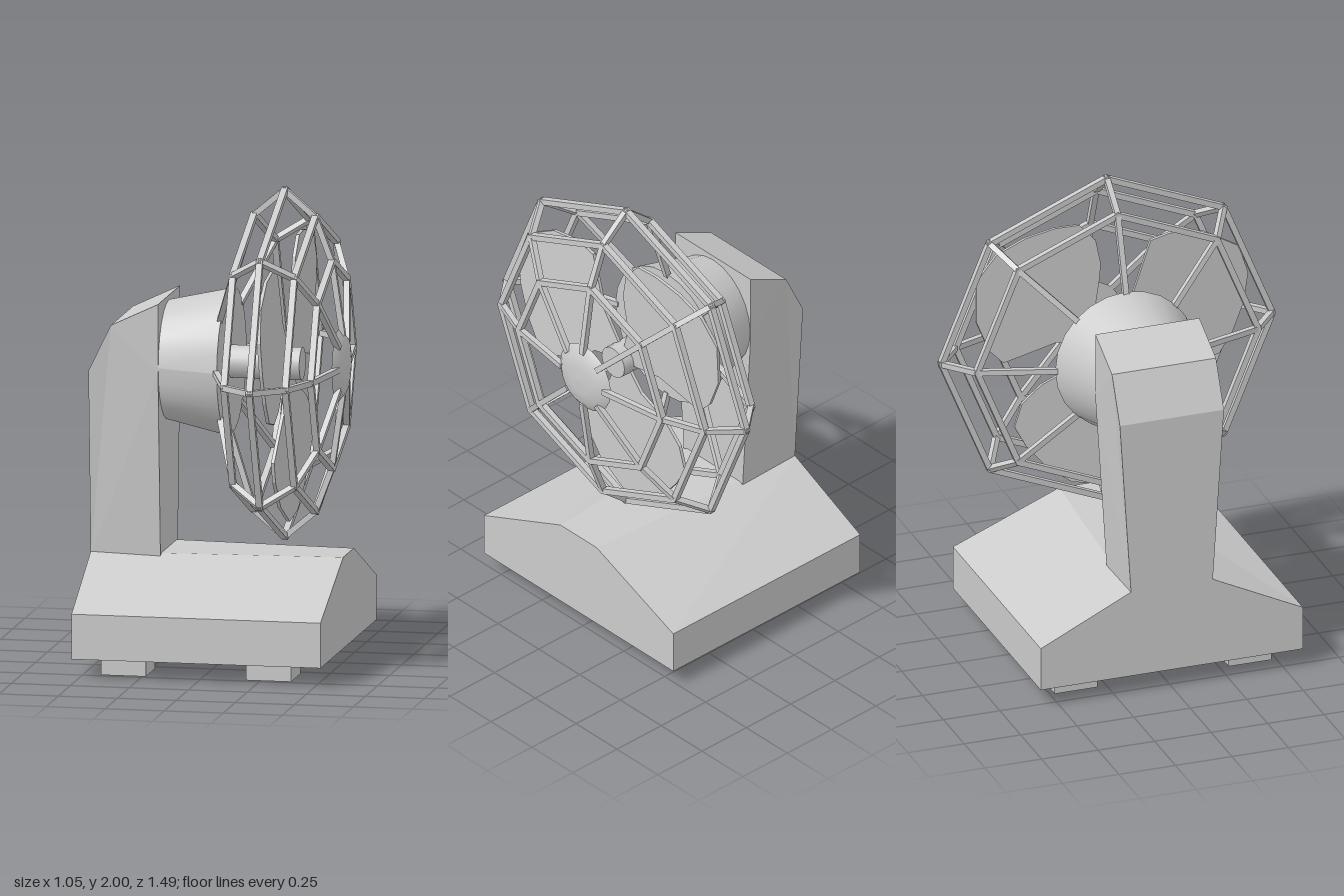
import * as THREE from 'three';

const AXIS_Y = 1.255; // height of the fan axis, which runs along x
const flat = new THREE.MeshStandardMaterial({ color: 0xcccccc, flatShading: true });
const smooth = new THREE.MeshStandardMaterial({ color: 0xcccccc });

function add(parent, name, geometry, material = flat) {
  const mesh = new THREE.Mesh(geometry, material);
  mesh.name = name;
  parent.add(mesh);
  return mesh;
}

function extrude(points, depth) {
  const shape = new THREE.Shape(points.map(p => new THREE.Vector2(...p)));
  return new THREE.ExtrudeGeometry(shape, { depth, bevelEnabled: false });
}

// Moves each vertex by a rule that edits the vector in place
function deform(geometry, rule) {
  const pos = geometry.attributes.position, v = new THREE.Vector3();
  for (let i = 0; i < pos.count; i++) {
    rule(v.fromBufferAttribute(pos, i));
    pos.setXYZ(i, v.x, v.y, v.z);
  }
  geometry.computeVertexNormals();
  return geometry;
}

// Solid of revolution about the x axis from [radius, x] pairs
function latheX(points, sides) {
  return new THREE.LatheGeometry(points.map(p => new THREE.Vector2(...p)), sides).rotateZ(-Math.PI / 2);
}

// Square bar between two points in the xy plane
function bar(a, b, t) {
  const dx = b[0] - a[0], dy = b[1] - a[1];
  return new THREE.BoxGeometry(Math.hypot(dx, dy) + t * 0.4, t, t)
    .rotateZ(Math.atan2(dy, dx))
    .translate((a[0] + b[0]) / 2, (a[1] + b[1]) / 2, 0);
}

function buildStand(group) {
  // Base with sloping shoulders; the ridge narrows towards +x
  const base = extrude([[-0.58, 0.08], [0.58, 0.08], [0.58, 0.27], [0.18, 0.465], [-0.18, 0.465], [-0.58, 0.27]], 1.055)
    .rotateY(Math.PI / 2).translate(-0.53, 0, 0);
  add(group, 'base', deform(base, v => { if (v.y > 0.4 && v.x > 0) v.z *= 0.11 / 0.18; }));

  // Four feet
  for (const x of [-0.33, 0.285])
    for (const z of [-0.385, 0.385])
      add(group, 'foot', new THREE.BoxGeometry(0.19, 0.09, 0.19)).position.set(x, 0.045, z);

  // Post with a chamfered back, wider at the top
  const post = extrude([[-0.53, 0.45], [-0.235, 0.45], [-0.235, 1.235], [-0.235, 1.525], [-0.435, 1.43], [-0.53, 1.235]], 0.46)
    .translate(0, 0, -0.23);
  add(group, 'post', deform(post, v => { if (v.y < 0.5) v.z *= 0.18 / 0.23; }));
}

function buildCage(fan) {
  const cage = new THREE.Group();
  cage.name = 'cage';
  fan.add(cage);
  const t = 0.027;

  // Octagonal rings
  const rings = [[0.125, 0.635], [0.255, 0.745], [0.385, 0.635], [0.455, 0.45]];
  for (const [x, r] of rings) {
    const lo = x - t / 2, hi = x + t / 2;
    add(cage, 'cageRing', latheX([[r - t, lo], [r, lo], [r, hi], [r - t, hi], [r - t, lo]], 8));
  }

  // Eight ribs from the motor rim to the front cap
  const path = [[0.025, 0.30], ...rings.map(([x, r]) => [x, r - t / 2]), [0.5, 0.13]];
  for (let i = 0; i < 8; i++) {
    const rib = new THREE.Group();
    rib.name = 'cageRib';
    rib.rotation.x = i * Math.PI / 4;
    for (let j = 0; j + 1 < path.length; j++) add(rib, 'ribBar', bar(path[j], path[j + 1], t * 0.9));
    cage.add(rib);
  }

  // Domed front cap
  add(cage, 'frontCap', latheX([[0, 0.485], [0.155, 0.485]], 20));
  add(cage, 'frontCapDome', latheX([[0.155, 0.485], [0.115, 0.515], [0.06, 0.522], [0, 0.525]], 20), smooth);
}

function buildBlades(fan) {
  // Blade outline as [angle in degrees, radius], centred on 160 degrees
  const outline = [[110, 0.06], [123, 0.22], [116, 0.40], [115, 0.46], [122.6, 0.52], [136, 0.60], [151, 0.67],
    [163, 0.66], [175, 0.615], [187.5, 0.57], [198, 0.535], [205, 0.445], [207, 0.335], [205, 0.27], [196, 0.17], [200, 0.06]];
  const points = outline.map(([deg, r]) => {
    const a = THREE.MathUtils.degToRad(deg - 160);
    return [r * Math.cos(a), r * Math.sin(a)];
  });
  for (let i = 0; i < 3; i++) {
    const blade = extrude(points, 0.014)
      .translate(0, 0, -0.007)
      .rotateX(0.045) // slight pitch
      .rotateZ(THREE.MathUtils.degToRad(160 + i * 120))
      .rotateY(Math.PI / 2)
      .translate(0.272, 0, 0);
    add(fan, 'blade', blade);
  }
}

export function createModel() {
  const model = new THREE.Group();
  model.name = 'deskFan';
  buildStand(model);

  const fan = new THREE.Group();
  fan.name = 'fanHead';
  fan.position.y = AXIS_Y;
  model.add(fan);

  // Motor housing, slightly narrowed sideways where it meets the post
  const side = latheX([[0.25, -0.24], [0.31, 0.03]], 24);
  add(fan, 'motorHousing', deform(side, v => { if (v.x < 0) v.z *= 0.9; }), smooth);
  add(fan, 'motorFront', latheX([[0.31, 0.03], [0, 0.03]], 24));

  // Drive shaft
  add(fan, 'shaft', latheX([[0.07, 0.02], [0.07, 0.33]], 16), smooth);
  add(fan, 'shaftEnd', latheX([[0.07, 0.33], [0, 0.33]], 16));

  buildBlades(fan);
  buildCage(fan);
  return model;
}
